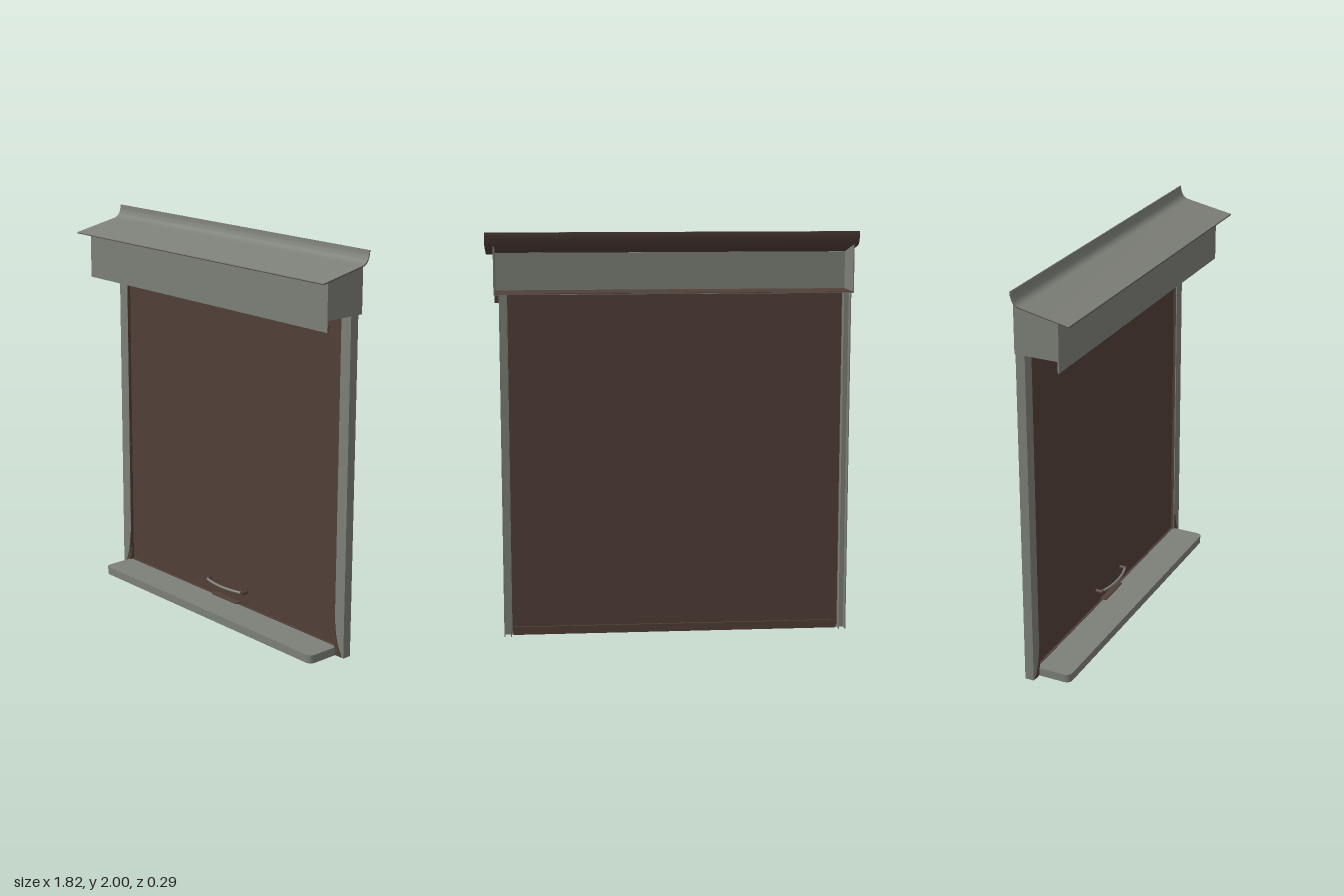
import * as THREE from 'three';
import { toCreasedNormals } from 'three/addons/utils/BufferGeometryUtils.js';

export function createModel() {
  const group = new THREE.Group();
  const grey = new THREE.MeshStandardMaterial({ color: 0x7d8078 });
  grey.name = 'warm grey metal';
  const brown = new THREE.MeshStandardMaterial({ color: 0x523f38 });
  brown.name = 'dark brown fabric';

  const add = (name, geometry, material) => {
    const mesh = new THREE.Mesh(geometry, material);
    mesh.name = name;
    group.add(mesh);
    return mesh;
  };
  // Box given by its limits on each axis
  const box = (name, material, [x0, x1], [y0, y1], [z0, z1]) => {
    const g = new THREE.BoxGeometry(x1 - x0, y1 - y0, z1 - z0);
    g.translate((x0 + x1) / 2, (y0 + y1) / 2, (z0 + z1) / 2);
    return add(name, g, material);
  };
  // Side profile of (z, y) points swept along x
  const sweepX = (points, x0, x1) => {
    const g = new THREE.ExtrudeGeometry(new THREE.Shape(points), { depth: x1 - x0, bevelEnabled: false });
    g.rotateY(-Math.PI / 2);
    g.translate(x1, 0, 0);
    return toCreasedNormals(g, 0.5);
  };
  const V = (x, y) => new THREE.Vector2(x, y);

  // Sloping roof with a curved upstand: grey sheet over a brown liner
  const slope = [V(0.145, 1.885), ...new THREE.QuadraticBezierCurve(
    V(-0.095, 1.934), V(-0.137, 1.942), V(-0.14, 2)).getPoints(10)];
  const shift = (dz, dy) => slope.map((p, i) =>
    V(p.x + dz * Math.min(1, i / 3), p.y + dy * Math.max(0, 1 - i / 10)));
  const mid = shift(-0.003, -0.004), low = shift(-0.005, -0.007);
  add('roof', sweepX([...slope, ...mid.slice().reverse()], -0.91, 0.91), grey);
  add('roofLiner', sweepX([...mid, ...low.slice().reverse()], -0.91, 0.91), brown);

  // Open-backed housing
  const B0 = -0.885, B1 = 0.87;
  const end = [V(0.075, 1.7), V(0.075, 1.89), V(-0.1, 1.926), V(-0.143, 1.934), V(-0.143, 1.7)];
  add('housingEndRight', sweepX(end, B0, B0 + 0.006), grey);
  add('housingEndLeft', sweepX(end, B1 - 0.006, B1), grey);
  box('housingFront', grey, [B0, B1], [1.645, 1.89], [0.073, 0.079]);
  box('housingLipBack', brown, [B0, B1], [1.645, 1.7], [0.07, 0.073]);
  box('housingFloorUnderside', grey, [B0, B1], [1.7, 1.703], [-0.143, 0.073]);
  box('housingFloor', brown, [B0 + 0.006, B1 - 0.006], [1.703, 1.706], [-0.143, 0.073]);

  // Screen and its bottom bar
  box('screen', brown, [-0.83, 0.805], [0.02, 1.7], [-0.122, -0.118]);
  box('bottomBar', brown, [-0.825, 0.8], [0.005, 0.045], [-0.132, -0.108]);

  // Guide rails: channels open to the back, with a flared brown foot
  for (const [name, outer, inner] of [['Right', -0.872, -0.81], ['Left', 0.845, 0.783]]) {
    const s = Math.sign(inner - outer);
    const span = (a, b) => [Math.min(a, b), Math.max(a, b)];
    box('railFront' + name, grey, span(outer, inner), [0, 1.7], [-0.104, -0.099]);
    box('railSide' + name, grey, span(outer, outer + s * 0.005), [0, 1.7], [-0.145, -0.104]);
    box('railInnerWall' + name, grey, span(inner - s * 0.03, inner - s * 0.026), [0, 1.7], [-0.145, -0.104]);
    box('railSeal' + name, brown, span(inner - s * 0.004, inner), [0.02, 1.7], [-0.118, -0.1]);

    const foot = new THREE.Shape();
    foot.moveTo(inner, 0.2);
    foot.quadraticCurveTo(inner - s * 0.008, 0.06, outer + s * 0.014, 0.018);
    foot.lineTo(outer + s * 0.014, 0.002);
    foot.lineTo(inner, 0.002);
    foot.closePath();
    const g = new THREE.ExtrudeGeometry(foot, { depth: 0.003, bevelEnabled: false });
    g.translate(0, 0, -0.099);
    add('railFoot' + name, g, brown);
  }

  // Sill: thin top with a skirt, hollow beneath, rounded front corners
  const outline = (d, Shape) => {
    const x0 = -0.82 + d, x1 = 0.79 - d, front = 0.07 - d, back = -0.108, r = 0.035 - d;
    const s = new Shape();
    s.moveTo(x0, -back);
    s.lineTo(x0, -front + r);
    s.quadraticCurveTo(x0, -front, x0 + r, -front);
    s.lineTo(x1 - r, -front);
    s.quadraticCurveTo(x1, -front, x1, -front + r);
    s.lineTo(x1, -back);
    return s;
  };
  const slab = (shape, depth, y) => {
    const g = new THREE.ExtrudeGeometry(shape, { depth, bevelEnabled: false, curveSegments: 8 });
    g.rotateX(-Math.PI / 2);
    g.translate(0, y, 0);
    return toCreasedNormals(g, 0.5);
  };
  add('sillTop', slab(outline(0, THREE.Shape), 0.005, 0.037), grey);
  const skirt = outline(0, THREE.Shape);
  const inside = outline(0.005, THREE.Shape).getPoints(8).reverse();
  inside.forEach((p) => skirt.lineTo(p.x, p.y));
  add('sillSkirt', slab(skirt, 0.037, 0), grey);

  // Bowed pull handle with brown end caps and a small ledge below
  const hx = -0.015, hy = 0.123;
  const bow = new THREE.CatmullRomCurve3([-0.14, -0.07, 0, 0.07, 0.14].map((x) =>
    new THREE.Vector3(hx + x, hy, -0.067 - 0.022 * (x / 0.14) ** 2)));
  add('handle', new THREE.TubeGeometry(bow, 20, 0.007, 8), grey);
  for (const x of [-0.14, 0.14]) {
    const cap = new THREE.CylinderGeometry(0.01, 0.01, 0.04, 12);
    cap.rotateX(Math.PI / 2);
    cap.translate(hx + x, hy, -0.1);
    add('handleEnd', cap, brown);
  }
  box('handleLedge', brown, [-0.11, 0.08], [0.05, 0.056], [-0.12, -0.085]);

  return group;
}
